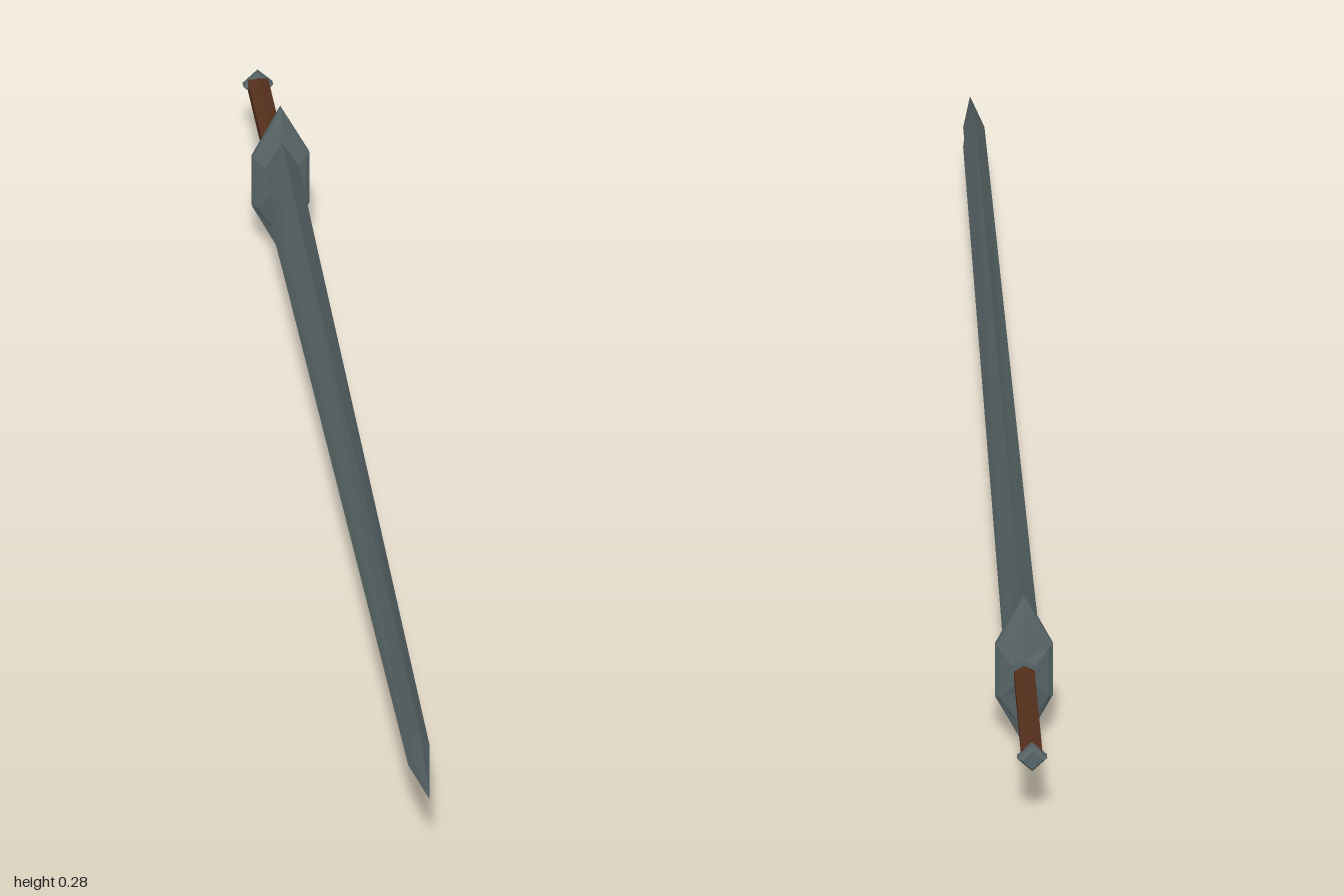
import * as THREE from 'three';

const CENTER_Y = 0.142;

// Skins a list of cross-sections { z, points } (counter-clockwise seen from +z), with fan caps
function loft(sections) {
  const pos = [];
  const tri = (...corners) => corners.forEach((c) => pos.push(...c));
  const rings = sections.map(({ z, points }) => points.map(([x, y]) => [x, y, z]));
  const n = rings[0].length;
  for (let i = 0; i < rings.length - 1; i++) {
    for (let j = 0; j < n; j++) {
      const k = (j + 1) % n;
      const a = rings[i][j], b = rings[i][k], c = rings[i + 1][k], d = rings[i + 1][j];
      tri(a, b, c);
      tri(a, c, d);
    }
  }
  const first = rings[0], last = rings[rings.length - 1];
  for (let j = 0; j < n; j++) {
    const k = (j + 1) % n;
    tri([0, 0, first[0][2]], first[k], first[j]);
    tri([0, 0, last[0][2]], last[j], last[k]);
  }
  const geometry = new THREE.BufferGeometry();
  geometry.setAttribute('position', new THREE.Float32BufferAttribute(pos, 3));
  geometry.computeVertexNormals();
  return geometry;
}

// Double-edged blade section with a V-shaped groove on each side
const bladeSection = (z, w, h, ridge) => ({
  z,
  points: [
    [w, -ridge], [w * 0.5, 0], [w, ridge], [0, h],
    [-w, ridge], [-w * 0.5, 0], [-w, -ridge], [0, -h],
  ],
});

// Elongated hexagon with points at top and bottom
const guardSection = (z, w, side, h) => ({
  z,
  points: [[w, -side], [w, side], [0, h], [-w, side], [-w, -side], [0, -h]],
});

// Regular polygon section
const polygonSection = (z, r, sides) => ({
  z,
  points: Array.from({ length: sides }, (_, i) => {
    const a = (i / sides) * Math.PI * 2 + Math.PI / 2;
    return [Math.cos(a) * r, Math.sin(a) * r];
  }),
});

export function createModel() {
  const steel = new THREE.MeshStandardMaterial({ color: 0x586567 });
  const leather = new THREE.MeshStandardMaterial({ color: 0x57301d });
  const sword = new THREE.Group();
  sword.name = 'sword';

  const add = (name, sections, material) => {
    const mesh = new THREE.Mesh(loft(sections), material);
    mesh.name = name;
    mesh.position.y = CENTER_Y;
    sword.add(mesh);
  };

  // Blade: flares toward the guard, ends in a short point
  add('blade', [
    bladeSection(-0.72, 0.028, 0.082, 0.031),
    bladeSection(-0.5, 0.026, 0.07, 0.028),
    bladeSection(0.88, 0.017, 0.052, 0.018),
    bladeSection(1, 0.0005, 0.0005, 0.0002),
  ], steel);

  // Guard: thin bevelled plate, domed on both faces
  add('guard', [
    guardSection(-0.745, 0.018, 0.018, 0.03),
    guardSection(-0.735, 0.039, 0.045, 0.11),
    guardSection(-0.728, 0.046, 0.047, 0.139),
    guardSection(-0.72, 0.046, 0.047, 0.142),
    guardSection(-0.713, 0.039, 0.045, 0.11),
    guardSection(-0.705, 0.022, 0.03, 0.06),
  ], steel);

  // Grip
  add('grip', [
    polygonSection(-0.985, 0.019, 6),
    polygonSection(-0.735, 0.019, 6),
  ], leather);

  // Pommel: small bevelled diamond
  add('pommel', [
    polygonSection(-1, 0.017, 4),
    polygonSection(-0.993, 0.024, 4),
    polygonSection(-0.982, 0.024, 4),
    polygonSection(-0.974, 0.017, 4),
  ], steel);

  return sword;
}
